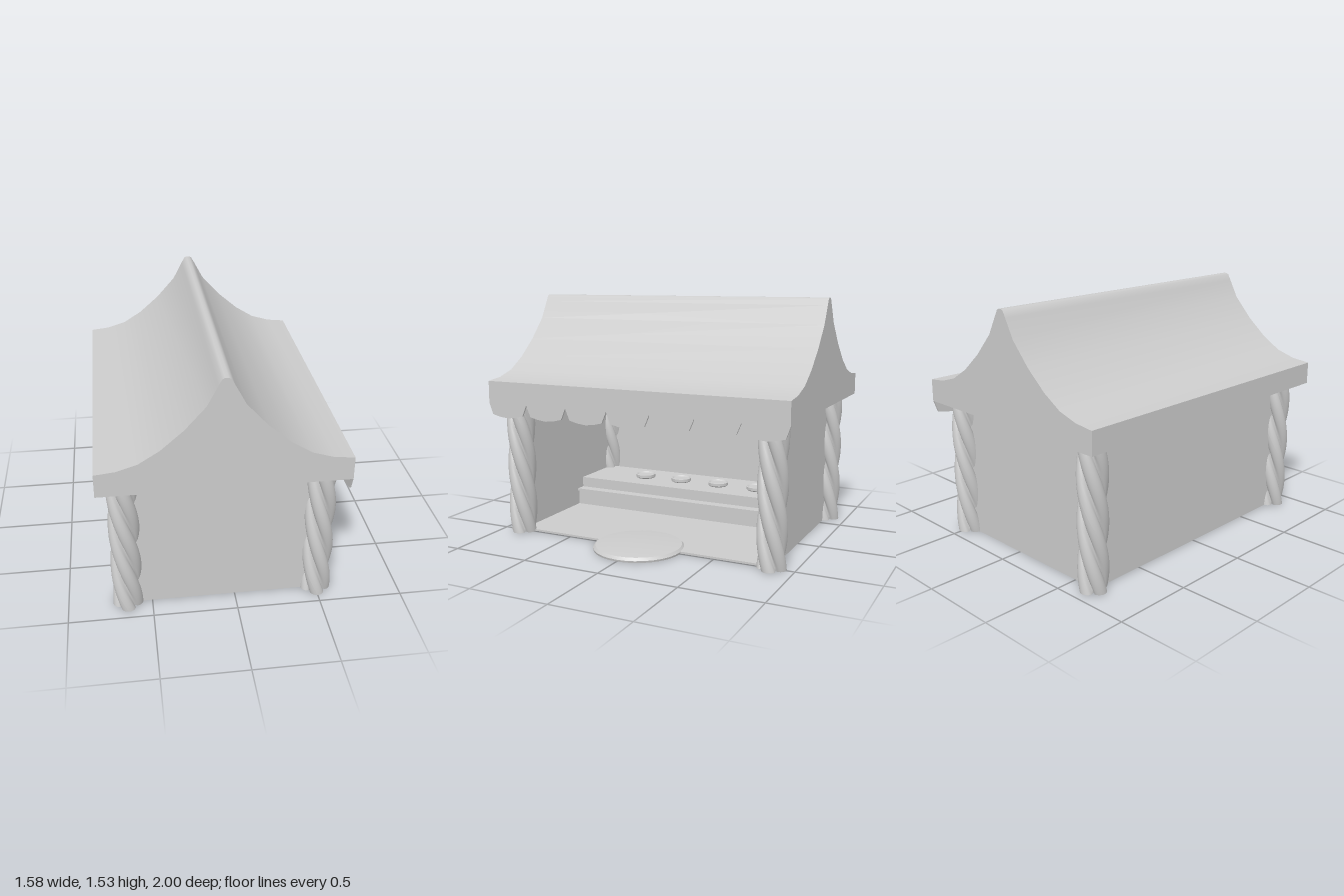
import * as THREE from 'three';
import { toCreasedNormals } from 'three/addons/utils/BufferGeometryUtils.js';

export function createModel() {
  const group = new THREE.Group();
  const material = new THREE.MeshStandardMaterial({ color: 0xcccccc, side: THREE.DoubleSide });
  const add = (name, geometry, x = 0, y = 0, z = 0) => {
    const mesh = new THREE.Mesh(geometry, material);
    mesh.name = name;
    mesh.position.set(x, y, z);
    group.add(mesh);
    return mesh;
  };
  // Box given by its minimum and maximum corners
  const box = (name, x0, x1, y0, y1, z0, z1) =>
    add(name, new THREE.BoxGeometry(x1 - x0, y1 - y0, z1 - z0), (x0 + x1) / 2, (y0 + y1) / 2, (z0 + z1) / 2);
  const shapeOf = (points) => new THREE.Shape(points.map(([x, y]) => new THREE.Vector2(x, y)));

  // Swept roof: half profile mirrored about the ridge, extruded along z
  const ridge = -0.075;
  const half = [[0.715, 0.86], [0.715, 1], [0.595, 1.013], [0.475, 1.05], [0.355, 1.125],
    [0.225, 1.238], [0.105, 1.372], [0.045, 1.485], [0.025, 1.522], [0.01, 1.53]];
  const profile = [
    ...half.map(([x, y]) => [ridge + x, y]),
    ...half.slice().reverse().map(([x, y]) => [ridge - x, y]),
  ];
  const roof = new THREE.ExtrudeGeometry(shapeOf(profile), { depth: 2, bevelEnabled: false });
  add('roof', toCreasedNormals(roof, 0.75), 0, 0, -1);

  // Scalloped valance under the open side
  const edge = [[-1, 0.87], [-1, 0.86]];
  for (let i = -3; i <= 3; i++) {
    const c = i * 0.287;
    edge.push([c - 0.113, 0.788], [c - 0.06, 0.775], [c, 0.768], [c + 0.06, 0.775], [c + 0.113, 0.788]);
    edge.push(i < 3 ? [c + 0.1435, 0.86] : [1, 0.86]);
  }
  edge.push([1, 0.87]);
  const valance = new THREE.ExtrudeGeometry(shapeOf(edge), { depth: 0.012, bevelEnabled: false });
  add('valance', valance, 0.627, 0, 0).rotation.y = Math.PI / 2;

  // Floor and the three walls
  box('floor', -0.65, 0.5, 0.003, 0.015, -0.86, 0.86);
  box('backWall', -0.655, -0.64, 0, 0.87, -0.86, 0.86);
  for (const s of [-1, 1]) add(s > 0 ? 'leftWall' : 'rightWall', new THREE.BoxGeometry(1.15, 0.87, 0.015), -0.075, 0.435, s * 0.855);

  // Twisted four-lobed columns
  const column = new THREE.CylinderGeometry(1, 1, 0.87, 48, 40);
  const p = column.attributes.position;
  for (let i = 0; i < p.count; i++) {
    const x = p.getX(i), z = p.getZ(i), y = p.getY(i) + 0.435;
    const a = Math.atan2(z, x);
    const r = Math.hypot(x, z) * (0.046 + 0.044 * Math.sqrt(Math.abs(Math.cos(2 * a))));
    const t = a + 5.7 * y;
    p.setXYZ(i, r * Math.cos(t), y, r * Math.sin(t));
  }
  column.computeVertexNormals();
  for (const x of [-0.645, 0.5]) {
    for (const z of [-0.86, 0.86]) add('column', column, x, 0, z);
  }

  // Stepped bench along the back wall
  box('benchBase', -0.645, -0.165, 0.01, 0.115, -0.85, 0.85);
  box('benchTop', -0.645, -0.15, 0.115, 0.13, -0.85, 0.85);
  box('benchUpperStep', -0.645, -0.22, 0.13, 0.2, -0.85, 0.85);

  // Low round pieces: dishes on the bench and the doormat
  const disc = (points, sides) =>
    toCreasedNormals(new THREE.LatheGeometry(points.map(([x, y]) => new THREE.Vector2(x, y)), sides), 0.6);
  const dish = disc([[0, 0], [0.062, 0], [0.07, 0.007], [0.07, 0.026], [0.064, 0.028], [0.055, 0.02], [0, 0.02]], 24);
  for (let i = 0; i < 4; i++) add('dish', dish, -0.42, 0.2, (i - 1.5) * 0.287);
  add('doormat', disc([[0, 0], [0.28, 0], [0.283, 0.012], [0.268, 0.028], [0.2, 0.035], [0, 0.04]], 32), 0.503, 0, 0);

  return group;
}
